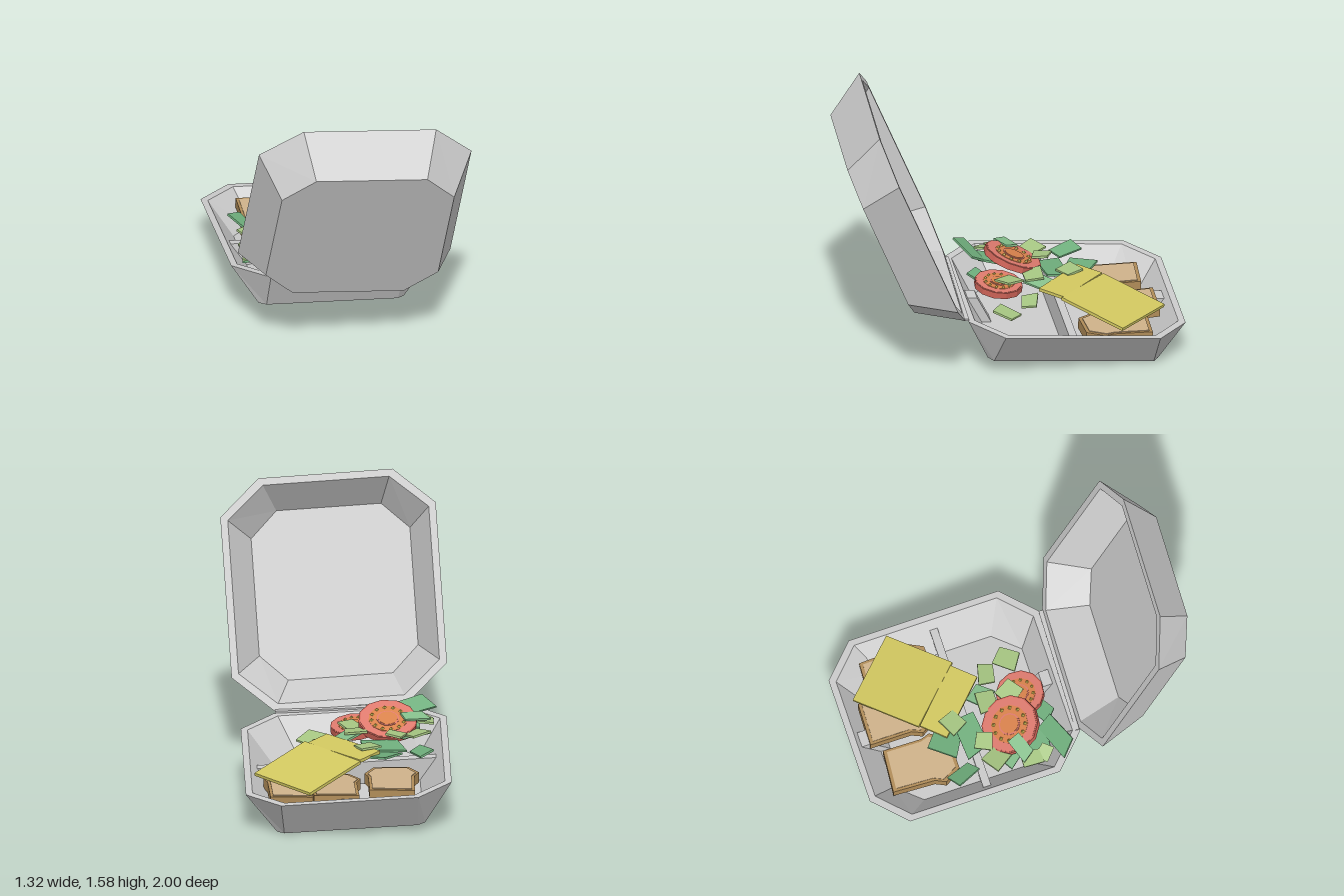
import * as THREE from 'three';

const V = (p) => new THREE.Vector3(...p);
const mat = (color) => new THREE.MeshStandardMaterial({ color, flatShading: true });
const GREY = mat(0xcccccc), CHEESE = mat(0xd2c860), CRUMB = mat(0xcfb28a), CRUST = mat(0xb08c58);
const SKIN = mat(0xcf6458), FLESH = mat(0xde7a6e), CORE = mat(0xd9824c), SEED = mat(0xe0cc5a);
const DARK_LEAF = mat(0x6fae7c), MID_LEAF = mat(0x86c08c), PALE_LEAF = mat(0xa6c682);

function mesh(name, geometry, material, parent) {
  const m = new THREE.Mesh(geometry, material);
  m.name = name;
  parent.add(m);
  return m;
}

// Orient an object by its local x and z directions
function place(obj, origin, xDir, zDir) {
  const x = V(xDir).normalize();
  const y = V(zDir).cross(x).normalize();
  const z = x.clone().cross(y);
  obj.quaternion.setFromRotationMatrix(new THREE.Matrix4().makeBasis(x, y, z));
  obj.position.set(...origin);
  return obj;
}

// Octagon ring: half sizes a, b and where the cut corners start (ca, cb)
const ring = (a, b, ca, cb, y) => [
  [a, y, -cb], [a, y, cb], [ca, y, b], [-ca, y, b],
  [-a, y, cb], [-a, y, -cb], [-ca, y, -b], [ca, y, -b]];

// Closed tray skin through outer floor, outer rim, inner rim and inner floor
function trayGeometry(rings) {
  const all = [ring(0, 0, 0, 0, rings[0][0][1]), ...rings, ring(0, 0, 0, 0, rings.at(-1)[0][1])];
  const pos = [];
  for (let r = 0; r < all.length - 1; r++) {
    const lo = all[r], hi = all[r + 1];
    for (let i = 0; i < 8; i++) {
      const j = (i + 1) % 8;
      if (r < all.length - 2) pos.push(...lo[i], ...hi[i], ...hi[j]);
      if (r > 0) pos.push(...lo[i], ...hi[j], ...lo[j]);
    }
  }
  const g = new THREE.BufferGeometry();
  g.setAttribute('position', new THREE.Float32BufferAttribute(pos, 3));
  g.computeVertexNormals();
  return g;
}

// Flat outline extruded and centred on its thickness
function prism(points, depth) {
  const shape = new THREE.Shape(points.map(([x, y]) => new THREE.Vector2(x, y)));
  return new THREE.ExtrudeGeometry(shape, { depth, bevelEnabled: false }).translate(0, 0, -depth / 2);
}

function makeBase() {
  const base = new THREE.Group();
  base.name = 'base';
  mesh('baseTray', trayGeometry([
    ring(0.41, 0.48, 0.37, 0.45, -0.228), ring(0.57, 0.612, 0.38, 0.436, 0),
    ring(0.533, 0.575, 0.36, 0.415, 0), ring(0.40, 0.46, 0.27, 0.32, -0.18)]), GREY, base);
  // Cross divider and short end ribs
  mesh('divider', prism([[-0.4, -0.19], [0.4, -0.19], [0.495, -0.05], [-0.495, -0.05]], 0.045), GREY, base)
    .position.z = 0.03;
  for (const s of [-1, 1]) {
    const rib = prism([[0.40, -0.19], [0.46, -0.19], [0.555, -0.03], [0.50, -0.03]], 0.09);
    mesh('rib', rib, GREY, base).rotation.y = s * Math.PI / 2;
  }
  return place(base, [0.025, 0.293, -0.33], [0.986, -0.056, 0.165], [-0.165, 0.09, 0.986]);
}

function makeLid() {
  const lid = new THREE.Group();
  lid.name = 'lid';
  mesh('lidTray', trayGeometry([
    ring(0.484, 0.505, 0.312, 0.34, -0.24), ring(0.597, 0.646, 0.372, 0.445, 0),
    ring(0.557, 0.606, 0.35, 0.425, 0), ring(0.44, 0.47, 0.29, 0.325, -0.2)]), GREY, lid);
  return place(lid, [-0.073, 0.956, 0.531], [0.977, -0.075, 0.19], [0.01, 0.92, 0.39]);
}

// Bread slice with a domed top end and a darker crust
function makeBread(origin, yaw, tilt) {
  const outline = [[-0.13, -0.19], [0.12, -0.18], [0.13, 0.04], [0.15, 0.09],
    [0.10, 0.19], [-0.09, 0.2], [-0.15, 0.11], [-0.125, 0.05]];
  const slice = new THREE.Group();
  slice.name = 'breadSlice';
  mesh('crust', prism(outline, 0.06).rotateX(Math.PI / 2), CRUST, slice);
  mesh('crumb', prism(outline.map(([x, y]) => [x * 0.88, y * 0.9]), 0.068).rotateX(Math.PI / 2), CRUMB, slice);
  slice.rotation.set(tilt, yaw, 0, 'YXZ');
  slice.position.set(...origin);
  return slice;
}

function makeTomato(origin, r, xDir, zDir) {
  const slice = new THREE.Group();
  slice.name = 'tomatoSlice';
  const disc = (name, radius, h, m) => mesh(name, new THREE.CylinderGeometry(radius, radius, h, 12), m, slice);
  disc('skin', r, 0.036, SKIN);
  disc('flesh', r * 0.95, 0.04, FLESH);
  disc('pulp', r * 0.66, 0.044, CORE);
  disc('core', r * 0.38, 0.05, FLESH);
  disc('coreCentre', r * 0.33, 0.054, CORE);
  for (let i = 0; i < 12; i++) {
    const a = i * Math.PI / 6;
    const seed = mesh('seed', new THREE.OctahedronGeometry(r * 0.07), SEED, slice);
    seed.position.set(Math.cos(a) * r * 0.56, 0.024, Math.sin(a) * r * 0.56);
  }
  return place(slice, origin, xDir, zDir);
}

// Lettuce scraps: x, y, z, width, depth, yaw, tilt about x, tilt about z
const LEAVES = [
  [DARK_LEAF, -0.37, 0.34, -0.47, 0.09, 0.17, 0.2, 0.1, -0.3],
  [DARK_LEAF, -0.15, 0.33, -0.47, 0.17, 0.17, 0.7, 0.15, 0.1],
  [DARK_LEAF, -0.18, 0.335, -0.33, 0.24, 0.15, -0.15, -0.1, 0.05],
  [DARK_LEAF, -0.42, 0.41, 0.08, 0.24, 0.12, 0.2, -0.5, -0.15],
  [DARK_LEAF, -0.2, 0.33, 0.08, 0.2, 0.1, 0.3, -0.1, -0.1],
  [DARK_LEAF, -0.38, 0.36, -0.02, 0.15, 0.14, -0.4, -0.2, 0.1],
  [MID_LEAF, -0.01, 0.355, -0.18, 0.13, 0.13, 0.5, 0.1, -0.15],
  [MID_LEAF, -0.4, 0.425, -0.13, 0.15, 0.09, 0.1, -0.2, 0.1],
  [MID_LEAF, -0.36, 0.35, -0.2, 0.18, 0.14, 0.3, 0.1, 0],
  [PALE_LEAF, -0.38, 0.375, -0.27, 0.12, 0.14, 0.3, 0.15, -0.1],
  [PALE_LEAF, -0.47, 0.385, -0.1, 0.09, 0.13, -0.3, 0.1, 0.1],
  [PALE_LEAF, -0.26, 0.385, -0.29, 0.1, 0.11, 0.9, -0.1, 0.1],
  [PALE_LEAF, -0.06, 0.375, -0.17, 0.13, 0.12, -0.3, 0.1, -0.1],
  [PALE_LEAF, -0.06, 0.36, -0.03, 0.12, 0.13, 0.3, -0.1, 0.1],
  [PALE_LEAF, 0.11, 0.3, -0.09, 0.13, 0.1, -0.5, 0.1, -0.15],
  [PALE_LEAF, 0.15, 0.27, 0.06, 0.14, 0.12, 0.6, -0.1, -0.2],
  [PALE_LEAF, -0.08, 0.36, -0.39, 0.12, 0.12, 0.2, 0.1, 0],
  [PALE_LEAF, -0.47, 0.38, -0.02, 0.08, 0.1, 0.5, -0.2, 0.2],
];

function makeFilling() {
  const food = new THREE.Group();
  food.name = 'filling';
  food.add(
    makeBread([-0.17, 0.22, -0.64], -0.2, 0),
    makeBread([0.15, 0.2, -0.63], -0.15, 0.03),
    makeBread([0.37, 0.18, -0.51], -0.16, -0.05),
    makeTomato([-0.25, 0.4, -0.12], 0.165, [1, -0.05, 0], [0, 0.38, 1]),
    makeTomato([-0.09, 0.33, 0.02], 0.135, [1, -0.1, 0], [0, 0.1, 1]));
  // Two overlapping cheese sheets
  place(mesh('largeCheese', new THREE.BoxGeometry(0.416, 0.018, 0.416), CHEESE, food),
    [0.28, 0.3, -0.52], [0.33, -0.08, -0.24], [0.24, 0.02, 0.34]);
  place(mesh('smallCheese', new THREE.BoxGeometry(0.165, 0.018, 0.39), CHEESE, food),
    [0.045, 0.345, -0.355], [0.13, -0.01, -0.1], [0.22, 0.01, 0.32]);
  const outline = [[-0.55, -0.4], [0.45, -0.5], [0.5, 0.35], [-0.35, 0.5]];
  for (const [m, x, y, z, w, d, yaw, tx, tz] of LEAVES) {
    const geo = prism(outline.map(([u, v]) => [u * w, v * d]), 0.012).rotateX(Math.PI / 2);
    const leaf = mesh('lettuce', geo, m, food);
    leaf.position.set(x, y, z);
    leaf.rotation.set(tx, yaw, tz, 'YXZ');
  }
  return food;
}

export function createModel() {
  const model = new THREE.Group();
  model.name = 'takeawayBox';
  model.add(makeBase(), makeLid(), makeFilling());
  // Folded strip joining base and lid
  place(mesh('hinge', new THREE.BoxGeometry(0.74, 0.012, 0.03), GREY, model),
    [-0.07, 0.352, 0.275], [0.75, -0.035, 0.145], [-0.165, 0.09, 0.986]);
  return model;
}
